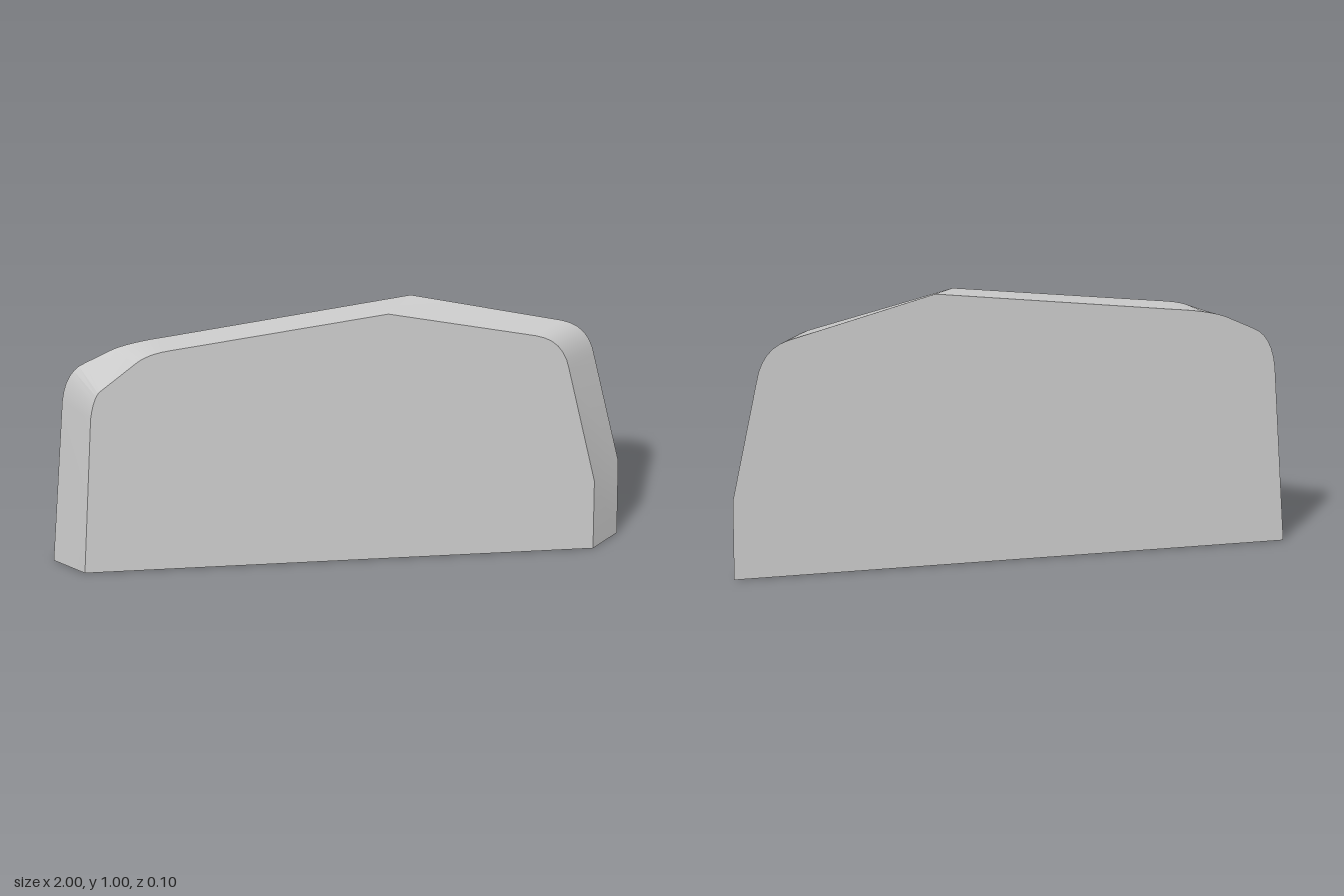
import * as THREE from 'three';
import { toCreasedNormals } from 'three/addons/utils/BufferGeometryUtils.js';

const HALF_DEPTH = 0.052;

// Each step is a line [x, y] or a rounded corner [controlX, controlY, x, y].
const BACK = [
  [-1, 0], [-0.97, 0.64], [-0.96, 0.76, -0.89, 0.79],
  [-0.79, 0.84], [-0.73, 0.865, -0.6, 0.88],
  [0.265, 1], [0.8, 0.868], [0.897, 0.842, 0.915, 0.72],
  [1, 0.29], [0.995, 0],
];
const FRONT = [
  [-0.9, 0], [-0.88, 0.62], [-0.87, 0.71, -0.845, 0.73],
  [-0.72, 0.835], [-0.68, 0.87, -0.6, 0.88],
  [0.175, 0.985], [0.7, 0.868], [0.796, 0.845, 0.815, 0.73],
  [0.905, 0.27], [0.9, 0],
];

// Sample an outline so both faces get the same number of points.
function outline(steps) {
  const points = [];
  for (const s of steps) {
    if (s.length === 2) {
      points.push(new THREE.Vector2(...s));
    } else {
      const curve = new THREE.QuadraticBezierCurve(
        points[points.length - 1], new THREE.Vector2(s[0], s[1]), new THREE.Vector2(s[2], s[3]));
      points.push(...curve.getPoints(6).slice(1));
    }
  }
  return points;
}

// Sloping band joining the smaller front outline to the larger back one.
function rimGeometry(front, back) {
  const position = [];
  const n = front.length;
  for (let i = 0; i < n; i++) {
    const j = (i + 1) % n;
    const f0 = [front[i].x, front[i].y, HALF_DEPTH];
    const f1 = [front[j].x, front[j].y, HALF_DEPTH];
    const b0 = [back[i].x, back[i].y, -HALF_DEPTH];
    const b1 = [back[j].x, back[j].y, -HALF_DEPTH];
    position.push(...f0, ...f1, ...b1, ...f0, ...b1, ...b0);
  }
  const g = new THREE.BufferGeometry();
  g.setAttribute('position', new THREE.Float32BufferAttribute(position, 3));
  return toCreasedNormals(g, 0.33);
}

export function createModel() {
  const group = new THREE.Group();
  group.name = 'bevelledPanel';
  const material = new THREE.MeshStandardMaterial({ color: 0xcccccc });
  const add = (name, geometry) => {
    const mesh = new THREE.Mesh(geometry, material);
    mesh.name = name;
    group.add(mesh);
  };

  const front = outline(FRONT);
  const back = outline(BACK);

  // Flat front face
  add('frontFace', new THREE.ShapeGeometry(new THREE.Shape(front)).translate(0, 0, HALF_DEPTH));

  // Flat back face, mirrored and then turned to face backwards
  const mirrored = back.map((p) => new THREE.Vector2(-p.x, p.y));
  add('backFace', new THREE.ShapeGeometry(new THREE.Shape(mirrored))
    .rotateY(Math.PI).translate(0, 0, -HALF_DEPTH));

  // Bevelled edge and underside
  add('bevelledRim', rimGeometry(front, back));

  return group;
}
